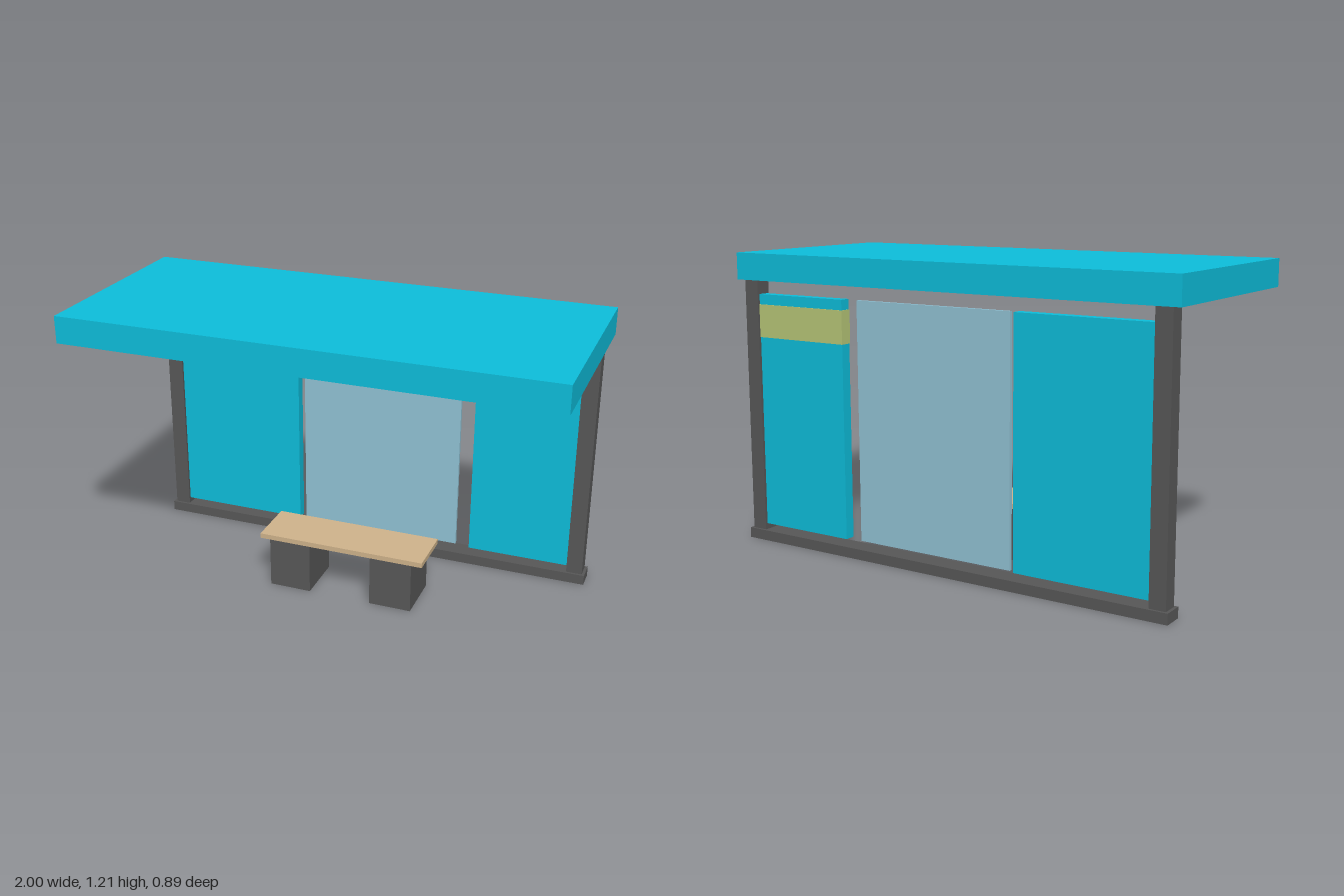
import * as THREE from 'three';

const material = (color) => new THREE.MeshStandardMaterial({ color });

export function createModel() {
  const group = new THREE.Group();
  const teal = material(0x0dbfdc);
  const steel = material(0x585858);
  const glass = material(0x92c4d6);
  const wood = material(0xd0b48c);
  const yellow = material(0xb8c878);
  const lamp = material(0xb0b0b0);

  // Box given by its extents along each axis
  function box(name, mat, [x0, x1], [y0, y1], [z0, z1]) {
    const mesh = new THREE.Mesh(new THREE.BoxGeometry(x1 - x0, y1 - y0, z1 - z0), mat);
    mesh.name = name;
    mesh.position.set((x0 + x1) / 2, (y0 + y1) / 2, (z0 + z1) / 2);
    group.add(mesh);
  }
  const wallZ = -0.4;
  const around = (thickness) => [wallZ - thickness / 2, wallZ + thickness / 2];

  // Roof slab
  box('roof', teal, [-1, 1], [1.102, 1.213], [-0.443, 0.443]);

  // Base rail, posts and ceiling lights
  box('baseRail', steel, [-0.979, 0.979], [0, 0.043], around(0.086));
  for (const [side, s] of [['left', 1], ['right', -1]]) {
    const span = (a, b) => [a * s, b * s].sort((p, q) => p - q);
    box(`${side}Post`, steel, span(0.9, 0.967), [0.043, 1.102], around(0.065));
    box(`${side}CeilingLight`, lamp, span(0.31, 0.757), [1.093, 1.102], [-0.222, 0.222]);
  }

  // Back wall: two solid panels with a glass pane between them
  const wallY = [0.068, 1.045];
  box('rightPanel', teal, [-0.9, -0.335], wallY, around(0.044));
  box('glassPane', glass, [-0.311, 0.4], wallY, around(0.015));
  box('leftPanel', teal, [0.465, 0.9], wallY, around(0.044));
  box('signBand', yellow, [0.463, 0.9], [0.867, 1.003], around(0.05));

  // Bench
  const benchZ = [-0.11, 0.11];
  box('benchSeat', wood, [-0.311, 0.4], [0.213, 0.234], benchZ);
  for (const x of [-0.178, 0.266]) {
    box('benchLeg', steel, [x - 0.089, x + 0.089], [0, 0.213], benchZ);
  }
  return group;
}
